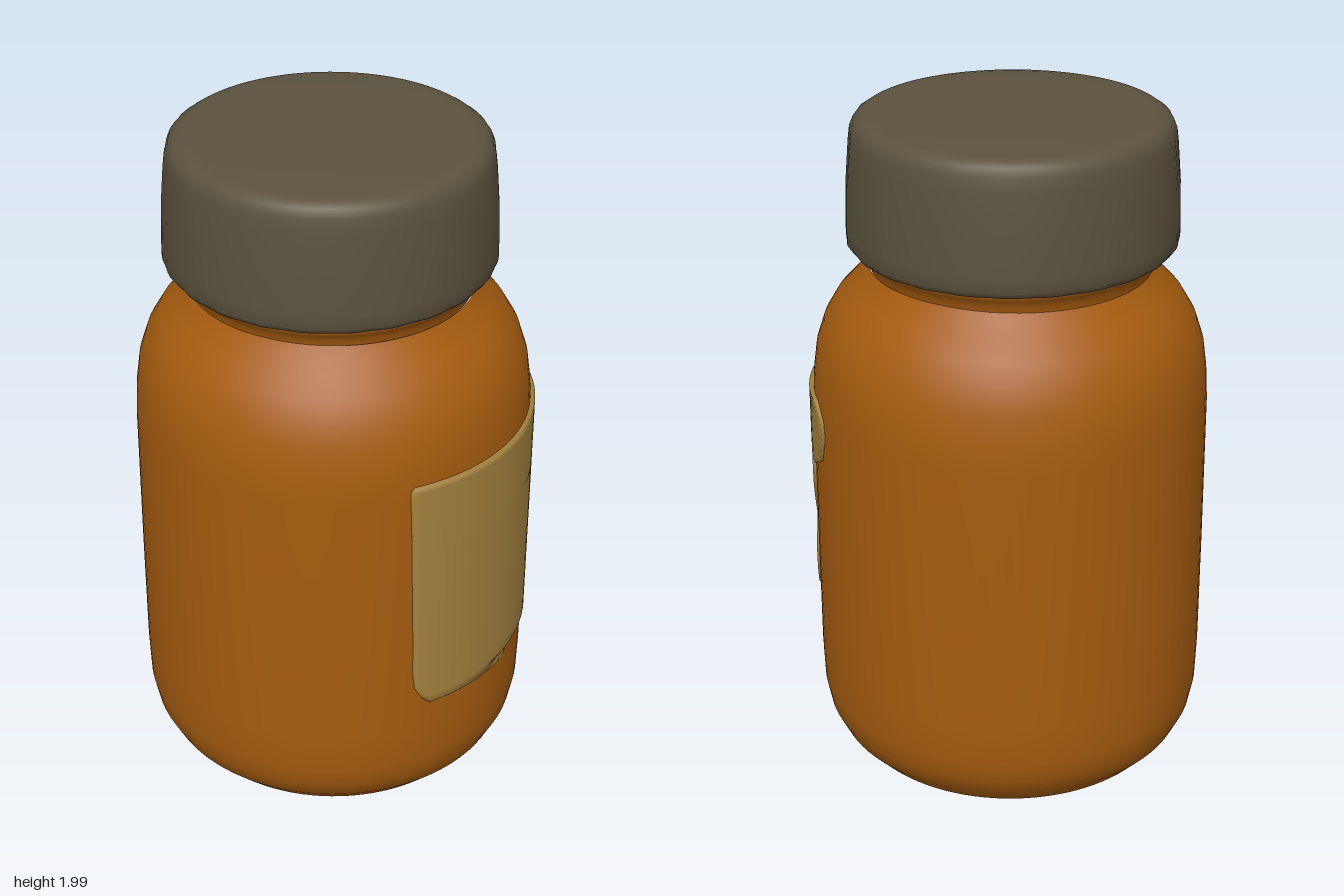
import * as THREE from 'three';

const material = (name, color, side = THREE.FrontSide) => {
  const m = new THREE.MeshStandardMaterial({ color, side });
  m.name = name;
  return m;
};

// Smooth solid of revolution from [radius, y] points
function turned(name, profile, mat, segments = 96) {
  const points = profile.map(([r, y]) => new THREE.Vector2(r, y));
  const mesh = new THREE.Mesh(new THREE.LatheGeometry(points, segments), mat);
  mesh.name = name;
  return mesh;
}

// Thin curved sheet: each row is [y, front z, back z], wrapped round the jar
function wrappedLabel(rows, inner, outer, mat) {
  const columns = 32;
  const positions = [], indices = [];
  const padded = [rows[0], ...rows, rows[rows.length - 1]];
  padded.forEach(([y, front, back], j) => {
    const a0 = Math.asin(front / outer), a1 = Math.asin(back / outer);
    for (let i = -1; i <= columns + 1; i++) {
      // The outermost ring of points folds in to form the paper's edge
      const edge = j === 0 || j === padded.length - 1 || i < 0 || i > columns;
      const t = THREE.MathUtils.clamp(i / columns, 0, 1);
      const a = THREE.MathUtils.lerp(a0, a1, t);
      const r = edge ? inner : outer;
      positions.push(r * Math.cos(a), y, r * Math.sin(a));
    }
  });
  const w = columns + 3;
  for (let j = 0; j < padded.length - 1; j++) {
    for (let i = 0; i < w - 1; i++) {
      const a = j * w + i, b = a + 1, c = a + w, d = c + 1;
      indices.push(a, b, c, b, d, c);
    }
  }
  const g = new THREE.BufferGeometry();
  g.setAttribute('position', new THREE.Float32BufferAttribute(positions, 3));
  g.setIndex(indices);
  g.computeVertexNormals();
  const mesh = new THREE.Mesh(g, mat);
  mesh.name = 'tornLabel';
  return mesh;
}

export function createModel() {
  const amber = material('amber', 0xa65c0f);
  const charcoal = material('charcoal', 0x5b523e);
  const paper = material('paper', 0xa5823f, THREE.DoubleSide);

  const jar = new THREE.Group();
  jar.name = 'jar';

  // Rounded body and shoulders
  const body = turned('body', [
    [0, 0.012], [0.3, 0.01], [0.37, 0.01], [0.42, 0.02], [0.475, 0.047], [0.525, 0.1],
    [0.555, 0.16], [0.569, 0.23], [0.573, 0.35], [0.573, 0.7], [0.571, 1.15],
    [0.566, 1.24], [0.555, 1.32], [0.532, 1.39], [0.497, 1.45], [0.455, 1.495],
    [0.422, 1.53], [0.402, 1.56],
  ], amber);
  body.position.x = -0.004;
  jar.add(body);

  // Neck ring that flares beneath the cap
  const neck = turned('neck', [
    [0.4, 1.55], [0.404, 1.575], [0.418, 1.595], [0.428, 1.61], [0.428, 1.64],
  ], amber);
  neck.position.x = -0.01;
  jar.add(neck);

  // Tapered screw cap with a soft top edge
  const cap = turned('cap', [
    [0.38, 1.615], [0.425, 1.612], [0.455, 1.622], [0.468, 1.64], [0.468, 1.68],
    [0.464, 1.8], [0.455, 1.91], [0.45, 1.95], [0.44, 1.975], [0.42, 1.989],
    [0.39, 1.994], [0.2, 1.997], [0, 2],
  ], charcoal, 120);
  // Faint ribs on the cap's side
  const p = cap.geometry.attributes.position;
  for (let i = 0; i < p.count; i++) {
    const r = Math.hypot(p.getX(i), p.getZ(i));
    if (r < 0.44) continue;
    const k = 1 + 0.004 * Math.cos(24 * Math.atan2(p.getZ(i), p.getX(i)));
    p.setX(i, p.getX(i) * k);
    p.setZ(i, p.getZ(i) * k);
  }
  cap.position.set(-0.015, 0, -0.004);
  jar.add(cap);

  // Paper label on the jar's left, torn along its back edge
  jar.add(wrappedLabel([
    [0.44, 0.36, 0.08], [0.465, 0.38, -0.24], [0.5, 0.395, -0.285], [0.56, 0.4, -0.305],
    [0.64, 0.4, -0.31], [0.675, 0.4, -0.285], [0.72, 0.402, -0.265], [0.8, 0.403, -0.3],
    [0.87, 0.405, -0.33], [0.93, 0.406, -0.335], [0.955, 0.407, -0.312],
    [0.97, 0.407, -0.34], [0.985, 0.407, -0.42], [1.02, 0.408, -0.46],
    [1.1, 0.41, -0.476], [1.15, 0.412, -0.47], [1.175, 0.412, -0.45], [1.19, 0.405, -0.43],
  ], 0.565, 0.579, paper));

  return jar;
}
